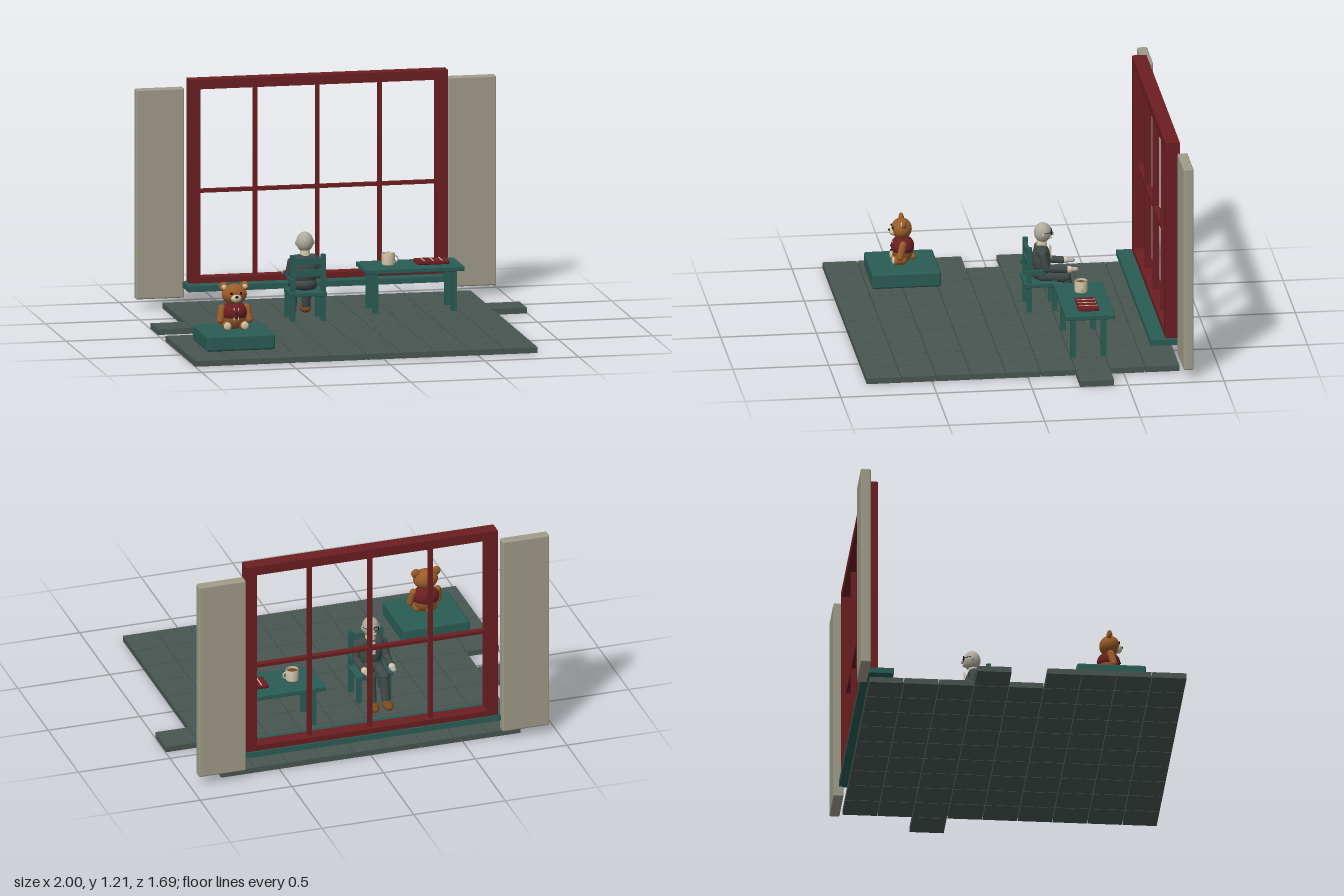
import * as THREE from 'three';
import { RoundedBoxGeometry } from 'three/addons/geometries/RoundedBoxGeometry.js';

function material(name, color) {
  const m = new THREE.MeshStandardMaterial({ color });
  m.name = name;
  return m;
}
const slate = material('slate', 0x485652);
const teal = material('teal', 0x2a5c54);
const red = material('deepRed', 0x6b1e21);
const stone = material('stone', 0x9f9c8a);
const cream = material('cream', 0xd2c4aa);
const fur = material('fur', 0x9a5c28);
const suit = material('suitGrey', 0x3f4948);
const hair = material('paleGrey', 0xb0aca0);
const black = material('black', 0x151515);
const leather = material('leather', 0x79491f);

function add(parent, name, geometry, mat, x = 0, y = 0, z = 0) {
  const mesh = new THREE.Mesh(geometry, mat);
  mesh.name = name;
  mesh.position.set(x, y, z);
  parent.add(mesh);
  return mesh;
}
// Box given by its limits on each axis, with an optional rounded edge
function box(parent, name, mat, [x0, x1], [y0, y1], [z0, z1], r = 0) {
  const s = [x1 - x0, y1 - y0, z1 - z0];
  const g = r ? new RoundedBoxGeometry(...s, 2, r) : new THREE.BoxGeometry(...s);
  return add(parent, name, g, mat, (x0 + x1) / 2, (y0 + y1) / 2, (z0 + z1) / 2);
}
function ball(parent, name, mat, pos, rx, ry = rx, rz = rx) {
  const mesh = add(parent, name, new THREE.SphereGeometry(1, 24, 16), mat, ...pos);
  mesh.scale.set(rx, ry, rz);
  return mesh;
}
// Capsule whose end spheres are centred on a and b
function limb(parent, name, mat, a, b, r) {
  const A = new THREE.Vector3(...a), B = new THREE.Vector3(...b);
  const d = B.clone().sub(A), mid = A.add(B).multiplyScalar(0.5);
  const mesh = add(parent, name, new THREE.CapsuleGeometry(r, d.length(), 6, 16), mat, mid.x, mid.y, mid.z);
  mesh.quaternion.setFromUnitVectors(new THREE.Vector3(0, 1, 0), d.normalize());
  return mesh;
}
function group(parent, name, x = 0, y = 0, z = 0) {
  const g = new THREE.Group();
  g.name = name;
  g.position.set(x, y, z);
  parent.add(g);
  return g;
}

function buildFloor(root) {
  const g = group(root, 'floor');
  const p = 2 / 11, gap = 0.002;
  for (let row = 0; row < 9; row++) {
    for (let col = 0; col < 11; col++) {
      // Ragged side edges: a few tiles stick out beyond the nine full columns
      if (col === 0 && !(row === 3 || row >= 5)) continue;
      if (col === 10 && row !== 2) continue;
      const x = -1 + col * p, z = -0.793 + row * p;
      box(g, 'floorTile', slate, [x + gap, x + p - gap], [0, 0.03], [z + gap, z + p - gap]);
    }
  }
}

function buildWindow(root) {
  const g = group(root, 'window');
  const depth = [-0.81, -0.735];
  for (const s of [-1, 1]) {
    box(g, 'windowJamb', red, [s * 0.656 - 0.029, s * 0.656 + 0.029], [0.135, 1.2], depth);
    box(g, 'shutter', stone, [s * 0.827 - 0.128, s * 0.827 + 0.128], [0.05, 1.155], [-0.848, -0.795], 0.008);
  }
  box(g, 'windowHead', red, [-0.685, 0.685], [1.157, 1.207], depth);
  box(g, 'windowBottomRail', red, [-0.685, 0.685], [0.134, 0.165], depth);
  for (const x of [-0.33, 0, 0.33]) box(g, 'verticalBar', red, [x - 0.009, x + 0.009], [0.16, 1.16], [-0.79, -0.755]);
  box(g, 'crossBar', red, [-0.63, 0.63], [0.607, 0.625], [-0.788, -0.757]);
  box(g, 'windowSill', teal, [-0.708, 0.708], [0.105, 0.135], [-0.82, -0.655]);
}

function buildTable(root) {
  const g = group(root, 'table');
  box(g, 'tableTop', teal, [0.14, 0.66], [0.243, 0.268], [-0.475, -0.217], 0.004);
  for (const x of [0.195, 0.613]) for (const z of [-0.262, -0.42]) {
    box(g, 'tableLeg', teal, [x - 0.014, x + 0.014], [0.03, 0.245], [z - 0.014, z + 0.014]);
  }
  // Hollow mug with a drink inside
  const mug = group(g, 'mug', 0.283, 0.268, -0.345);
  const profile = [[0, 0], [0.03, 0], [0.034, 0.006], [0.034, 0.062], [0.029, 0.062], [0.029, 0.01], [0, 0.01]];
  add(mug, 'mugBody', new THREE.LatheGeometry(profile.map(([x, y]) => new THREE.Vector2(x, y)), 32), cream);
  add(mug, 'drink', new THREE.CylinderGeometry(0.029, 0.029, 0.004, 32), leather, 0, 0.05, 0);
  add(mug, 'mugHandle', new THREE.TorusGeometry(0.017, 0.004, 8, 20, Math.PI), cream, 0.033, 0.031, 0).rotation.z = -Math.PI / 2;
  // Folded striped cloth
  const cloth = group(g, 'stripedCloth');
  box(cloth, 'cloth', red, [0.427, 0.597], [0.268, 0.288], [-0.4, -0.293], 0.006);
  for (const x of [0.465, 0.512, 0.559]) box(cloth, 'clothStripe', cream, [x - 0.003, x + 0.003], [0.287, 0.2895], [-0.395, -0.298]);
}

function buildChair(root) {
  const g = group(root, 'chair', -0.19, 0, 0);
  box(g, 'seat', teal, [-0.097, 0.097], [0.162, 0.185], [-0.275, -0.1], 0.004);
  for (const s of [-1, 1]) {
    const x = [s * 0.08 - 0.012, s * 0.08 + 0.012];
    box(g, 'backPost', teal, x, [0.03, 0.38], [-0.138, -0.113]);
    box(g, 'frontLeg', teal, x, [0.03, 0.165], [-0.27, -0.245]);
    box(g, 'armRest', teal, [s * 0.088 - 0.009, s * 0.088 + 0.009], [0.238, 0.256], [-0.2, -0.1]);
  }
  for (const y of [0.345, 0.283]) box(g, 'backRail', teal, [-0.08, 0.08], [y - 0.017, y + 0.017], [-0.132, -0.114]);
}

// Seated man, facing the window
function buildMan(root) {
  const g = group(root, 'seatedMan', -0.19, 0, 0);
  ball(g, 'hips', suit, [0, 0.215, -0.2], 0.062, 0.04, 0.055);
  ball(g, 'torso', suit, [0, 0.285, -0.197], 0.066, 0.092, 0.05);
  limb(g, 'shoulders', suit, [-0.042, 0.338, -0.197], [0.042, 0.338, -0.197], 0.033);
  add(g, 'collar', new THREE.CylinderGeometry(0.024, 0.028, 0.03, 20), cream, 0, 0.377, -0.2);
  box(g, 'shirtFront', cream, [-0.012, 0.012], [0.29, 0.36], [-0.249, -0.24]);
  // Head
  ball(g, 'head', hair, [0, 0.434, -0.205], 0.045, 0.053, 0.045);
  ball(g, 'nose', hair, [0, 0.425, -0.251], 0.009, 0.01, 0.012);
  ball(g, 'moustache', cream, [0, 0.407, -0.244], 0.021, 0.007, 0.009);
  for (const s of [-1, 1]) {
    ball(g, 'ear', hair, [s * 0.045, 0.43, -0.205], 0.007, 0.013, 0.009);
    add(g, 'spectacleRim', new THREE.TorusGeometry(0.012, 0.0022, 8, 20), black, s * 0.017, 0.438, -0.25);
    limb(g, 'spectacleArm', black, [s * 0.029, 0.439, -0.248], [s * 0.046, 0.439, -0.208], 0.0018);
    ball(g, 'eye', black, [s * 0.017, 0.438, -0.244], 0.004);
    // Arms and hands
    limb(g, 'upperArm', suit, [s * 0.073, 0.335, -0.195], [s * 0.082, 0.26, -0.215], 0.021);
    limb(g, 'forearm', suit, [s * 0.082, 0.26, -0.215], [s * 0.075, 0.25, -0.315], 0.019);
    limb(g, 'cuff', cream, [s * 0.075, 0.25, -0.33], [s * 0.075, 0.25, -0.336], 0.018);
    ball(g, 'hand', hair, [s * 0.073, 0.249, -0.362], 0.015, 0.012, 0.021);
    // Legs and shoes
    limb(g, 'thigh', suit, [s * 0.034, 0.205, -0.2], [s * 0.036, 0.197, -0.32], 0.029);
    limb(g, 'shin', suit, [s * 0.036, 0.19, -0.325], [s * 0.037, 0.075, -0.345], 0.024);
    ball(g, 'shoe', leather, [s * 0.038, 0.053, -0.37], 0.028, 0.022, 0.056);
  }
}

function buildBear(root) {
  box(root, 'pedestal', teal, [-0.892, -0.53], [0.035, 0.118], [0.28, 0.64], 0.012);
  const g = group(root, 'toyBear', -0.71, 0, 0.46);
  ball(g, 'body', fur, [0, 0.19, 0], 0.065, 0.072, 0.055);
  ball(g, 'vest', red, [0, 0.207, 0], 0.071, 0.056, 0.061);
  ball(g, 'tail', fur, [0, 0.145, -0.053], 0.016);
  for (const x of [-0.011, 0.011]) limb(g, 'vestTrim', cream, [x, 0.175, 0.054], [x, 0.235, 0.054], 0.003);
  for (const y of [0.185, 0.21]) ball(g, 'button', black, [0, y, 0.061], 0.005);
  ball(g, 'head', fur, [0, 0.303, 0.005], 0.066, 0.054, 0.053);
  ball(g, 'muzzle', cream, [0, 0.288, 0.049], 0.028, 0.022, 0.022);
  ball(g, 'nose', black, [0, 0.297, 0.069], 0.009, 0.007, 0.006);
  for (const s of [-1, 1]) {
    ball(g, 'ear', fur, [s * 0.055, 0.343, 0], 0.025, 0.025, 0.014);
    ball(g, 'innerEar', cream, [s * 0.055, 0.342, 0.011], 0.014, 0.014, 0.006);
    ball(g, 'eye', black, [s * 0.025, 0.314, 0.052], 0.007);
    limb(g, 'arm', fur, [s * 0.066, 0.232, 0.006], [s * 0.077, 0.17, 0.022], 0.019);
    limb(g, 'leg', fur, [s * 0.042, 0.142, 0.005], [s * 0.045, 0.142, 0.035], 0.024);
    ball(g, 'footSole', cream, [s * 0.046, 0.143, 0.053], 0.02, 0.021, 0.009);
  }
}

export function createModel() {
  const root = new THREE.Group();
  root.name = 'windowRoom';
  for (const build of [buildFloor, buildWindow, buildTable, buildChair, buildMan, buildBear]) build(root);
  return root;
}
